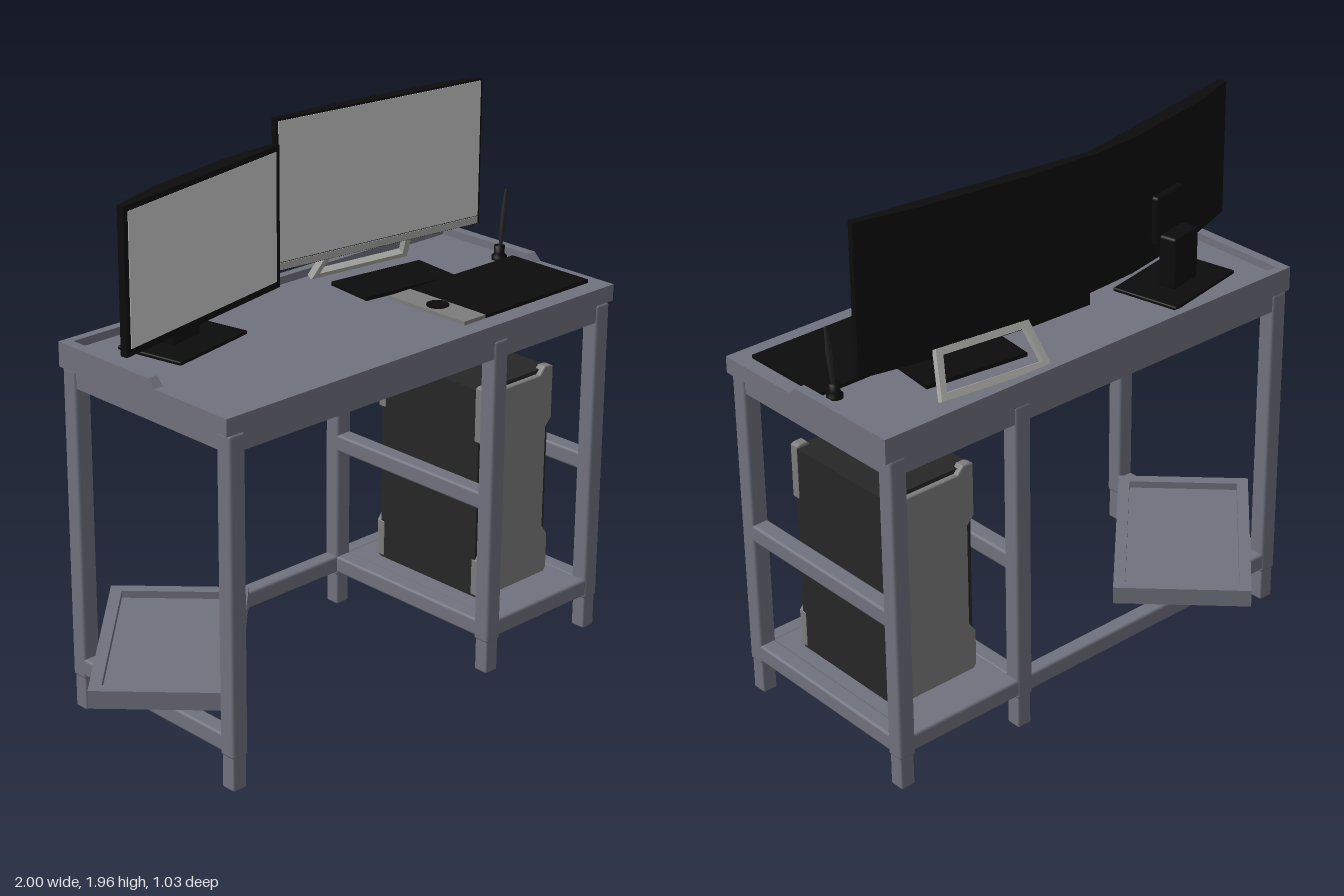
import * as THREE from 'three';
import { RoundedBoxGeometry } from 'three/addons/geometries/RoundedBoxGeometry.js';

const mat = (color) => new THREE.MeshStandardMaterial({ color });
const frameMat = mat(0x70727e), screenMat = mat(0xcccccc), blackMat = mat(0x0c0c0c);
const darkMat = mat(0x262626), panelMat = mat(0x7c7c7c), silverMat = mat(0xa8a8a4);

function add(parent, name, geometry, material, x = 0, y = 0, z = 0) {
  const mesh = new THREE.Mesh(geometry, material);
  mesh.name = name;
  mesh.position.set(x, y, z);
  parent.add(mesh);
  return mesh;
}

// Box given by its minimum and maximum on each axis; optional rounded edges
function block(parent, name, material, [x0, x1], [y0, y1], [z0, z1], r = 0) {
  const s = [x1 - x0, y1 - y0, z1 - z0];
  const g = r ? new RoundedBoxGeometry(...s, 2, r) : new THREE.BoxGeometry(...s);
  return add(parent, name, g, material, (x0 + x1) / 2, (y0 + y1) / 2, (z0 + z1) / 2);
}

function group(parent, name, x = 0, y = 0, z = 0, turn = 0) {
  const g = new THREE.Group();
  g.name = name;
  g.position.set(x, y, z);
  g.rotation.y = turn;
  parent.add(g);
  return g;
}

const polygon = (pts) => new THREE.Shape(pts.map(([x, y]) => new THREE.Vector2(x, y)));

// Extrude a plan outline (x, -z) upwards
function extrudeUp(shape, depth) {
  return new THREE.ExtrudeGeometry(shape, { depth, bevelEnabled: false }).rotateX(-Math.PI / 2);
}

function buildDesk(root) {
  const desk = group(root, 'desk');
  block(desk, 'deskTop', frameMat, [-0.8, 1], [1.25, 1.31], [-0.31, 0.51]);

  // Raised rim around the back, with sloped front ends
  block(desk, 'backRim', frameMat, [-0.8, 1], [1.31, 1.338], [-0.31, -0.278]);
  const rimSide = polygon([[-0.278, 0], [0.17, 0], [0.14, 0.028], [-0.278, 0.028]]);
  for (const x of [-0.8, 0.963]) {
    const g = new THREE.ExtrudeGeometry(rimSide, { depth: 0.037, bevelEnabled: false });
    g.rotateY(-Math.PI / 2).translate(0.037, 0, 0);
    add(desk, 'sideRim', g, frameMat, x, 1.31, 0);
  }

  // Legs with slimmer feet, joined front to back by rails
  const legX = [-0.757, 0.4325, 0.9475], legZ = [-0.275, 0.48], h = 0.0325;
  const rails = (x, y) => block(desk, 'sideRail', frameMat, [x - h, x + h], [y - h, y + h], [-0.26, 0.465], 0.01);
  for (const x of legX) {
    for (const z of legZ) {
      block(desk, 'leg', frameMat, [x - h, x + h], [0.12, 1.25], [z - h, z + h], 0.01);
      block(desk, 'foot', frameMat, [x - 0.028, x + 0.028], [0, 0.14], [z - 0.028, z + 0.028], 0.006);
    }
    rails(x, 0.165);
    if (x > 0) rails(x, 0.65);
  }
  block(desk, 'backLowerRail', frameMat, [-0.74, 0.93], [0.1325, 0.1975], [-0.305, -0.245], 0.01);
  block(desk, 'frontLowerRail', frameMat, [0.45, 0.93], [0.1325, 0.1975], [0.45, 0.51], 0.01);
  block(desk, 'towerShelf', frameMat, [0.44, 0.94], [0.14, 0.195], [-0.27, 0.47]);

  // Apron below the top
  for (const z of legZ) block(desk, 'apron', frameMat, [-0.74, 0.93], [1.187, 1.252], [z - 0.027, z + 0.027]);
  for (const x of [legX[0], legX[2]]) block(desk, 'sideApron', frameMat, [x - 0.027, x + 0.027], [1.187, 1.252], [-0.26, 0.465]);
}

function buildFootTray(root) {
  const tray = group(root, 'footTray', -0.55, 0.2, -0.07, Math.PI / 4);
  const rect = (w, d) => [[-w, -d], [w, -d], [w, d], [-w, d]];
  const rim = polygon(rect(0.3925, 0.244));
  rim.holes.push(polygon(rect(0.35, 0.202)));
  add(tray, 'trayRim', extrudeUp(rim, 0.065), frameMat);
  block(tray, 'trayFloor', frameMat, [-0.36, 0.36], [0.001, 0.038], [-0.21, 0.21]);
}

function buildTower(root) {
  const tower = group(root, 'computerTower', 0.6925, 0.2, 0.105);
  block(tower, 'towerBody', darkMat, [-0.179, 0.179], [0.005, 0.793], [-0.235, 0.235]);
  // End panel outline: notched on both sides and along the top
  const right = [[0.165, 0], [0.175, 0.012], [0.175, 0.14], [0.147, 0.18], [0.147, 0.57], [0.175, 0.6],
    [0.175, 0.79], [0.165, 0.795], [0.14, 0.795], [0.115, 0.768]];
  const left = right.map(([x, y]) => [-x, y]).reverse();
  for (const side of [1, -1]) {
    const g = new THREE.ExtrudeGeometry(polygon([...right, ...left]),
      { depth: 0.022, bevelThickness: 0.008, bevelSize: 0.006, bevelSegments: 3 });
    const panel = add(tower, side > 0 ? 'frontPanel' : 'backPanel', g, panelMat, 0, 0.004, side * 0.224);
    if (side < 0) panel.rotation.y = Math.PI;
  }
}

// Screen housing, thicker in the middle of its back; origin at the lower front edge
function buildMonitor(root, name, w, h, bezel, chin, thick, x, y, z, turn) {
  const monitor = group(root, name, x, y, z, turn);
  const a = w / 2, b = w * 0.24;
  const plan = polygon([[-a, 0], [a, 0], [a, 0.026], [b, thick], [-b, thick], [-a, 0.026]]);
  add(monitor, 'housing', extrudeUp(plan, h), blackMat);
  block(monitor, 'screen', screenMat, [-a + bezel, a - bezel], [chin, h - bezel], [-0.004, 0.002]);
  return monitor;
}

function buildMonitors(root) {
  const first = buildMonitor(root, 'rightHandMonitor', 0.815, 0.495, 0.02, 0.024, 0.055, -0.445, 1.405, 0.015, 0.2);
  // Flat foot and neck
  const stand = group(root, 'blackStand', -0.46, 1.31, -0.085, 0.2);
  block(stand, 'standBase', blackMat, [-0.18, 0.18], [0, 0.014], [-0.13, 0.13], 0.005);
  block(stand, 'standNeck', blackMat, [-0.07, 0.07], [0.01, 0.2], [-0.05, 0.02], 0.01);
  block(first, 'neckMount', blackMat, [-0.08, 0.08], [0.06, 0.24], [-0.08, -0.03], 0.01);

  const second = buildMonitor(root, 'leftHandMonitor', 0.891, 0.533, 0.008, 0.03, 0.045, 0.463, 1.422, -0.1, -0.12);
  block(second, 'chin', silverMat, [-0.437, 0.437], [0.002, 0.027], [-0.004, 0.003]);

  // Leaning trapezoid frame and a flat plate
  const frameStand = group(root, 'silverStand', 0.463, 1.31, -0.07, -0.12);
  block(frameStand, 'standPlate', blackMat, [-0.195, 0.195], [0, 0.014], [-0.06, 0.14]);
  const ring = polygon([[-0.212, 0], [0.212, 0], [0.178, 0.165], [-0.178, 0.165]]);
  ring.holes.push(polygon([[-0.185, 0.024], [0.185, 0.024], [0.158, 0.141], [-0.158, 0.141]]));
  const g = new THREE.ExtrudeGeometry(ring, { depth: 0.026, bevelEnabled: false });
  add(frameStand, 'leaningFrame', g, silverMat, 0, 0.01, -0.175).rotation.x = 0.52;
}

function buildTablet(root) {
  const tablet = group(root, 'drawingTablet');
  block(tablet, 'tabletSurface', blackMat, [0.425, 0.945], [1.31, 1.323], [0.085, 0.44]);
  block(tablet, 'controlStrip', panelMat, [0.322, 0.425], [1.31, 1.323], [0.085, 0.44]);
  add(tablet, 'controlDial', new THREE.CylinderGeometry(0.039, 0.039, 0.006, 32), blackMat, 0.375, 1.325, 0.265);

  // Pen standing in its round holder
  const holder = [[0, 0], [0.028, 0], [0.028, 0.012], [0.018, 0.022], [0.02, 0.05], [0, 0.05]];
  const pen = [[0, 0], [0.006, 0.01], [0.009, 0.07], [0.01, 0.14], [0.005, 0.225], [0, 0.23]];
  const lathe = (pts) => new THREE.LatheGeometry(pts.map(([x, y]) => new THREE.Vector2(x, y)), 20);
  add(tablet, 'penHolder', lathe(holder), blackMat, 0.91, 1.31, 0.052);
  add(tablet, 'pen', lathe(pen), darkMat, 0.91, 1.34, 0.055).rotation.z = -0.1;
}

export function createModel() {
  const root = new THREE.Group();
  root.name = 'computerDesk';
  buildDesk(root);
  buildFootTray(root);
  buildTower(root);
  buildMonitors(root);
  buildTablet(root);
  return root;
}
